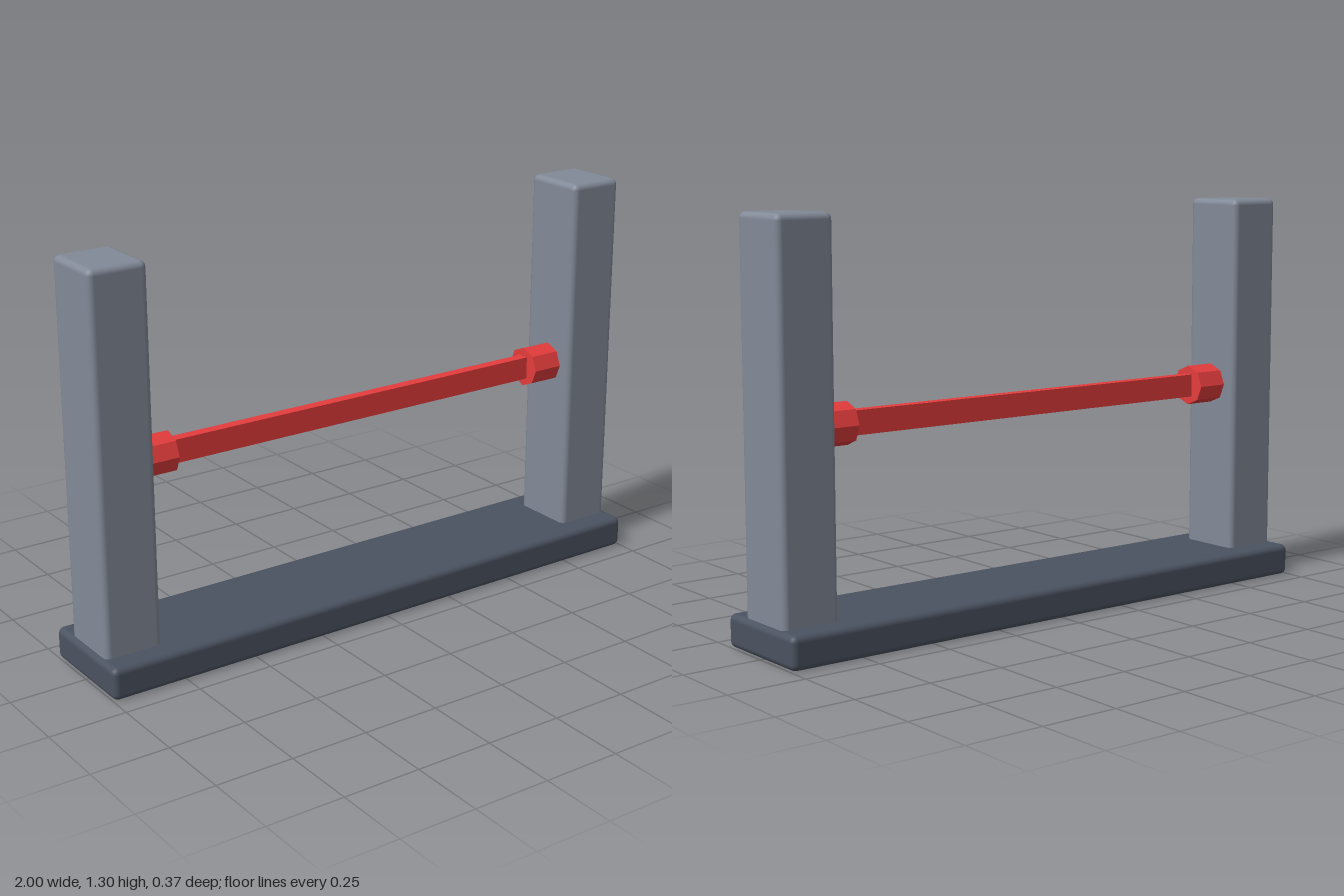
import * as THREE from 'three';
import { RoundedBoxGeometry } from 'three/addons/geometries/RoundedBoxGeometry.js';

const material = (color, flatShading = false) => new THREE.MeshStandardMaterial({ color, flatShading });

export function createModel() {
  const group = new THREE.Group();
  const baseMat = material(0x4b5361);
  const postMat = material(0x828a98);
  const redMat = material(0xe53c3c, true);
  const add = (name, geometry, mat, x, y) => {
    const mesh = new THREE.Mesh(geometry, mat);
    mesh.name = name;
    mesh.position.set(x, y, 0);
    group.add(mesh);
  };

  // Long base plate with softened edges
  add('base', new RoundedBoxGeometry(2, 0.104, 0.366, 2, 0.02), baseMat, 0, 0.052);

  // Flat crossbar between the collars
  const barY = 0.668;
  add('crossbar', new THREE.BoxGeometry(1.59, 0.075, 0.036), redMat, 0, barY);

  // Posts, each with an eight-sided collar holding the bar
  const postGeo = new RoundedBoxGeometry(0.19, 1.217, 0.218, 2, 0.02);
  const collarGeo = new THREE.CylinderGeometry(0.066, 0.066, 0.125, 8);
  collarGeo.rotateZ(Math.PI / 2);
  for (const [side, s] of [['left', 1], ['right', -1]]) {
    add(side + 'Post', postGeo, postMat, s * 0.889, 0.6875);
    add(side + 'Collar', collarGeo, redMat, s * 0.7505, barY);
  }
  return group;
}
